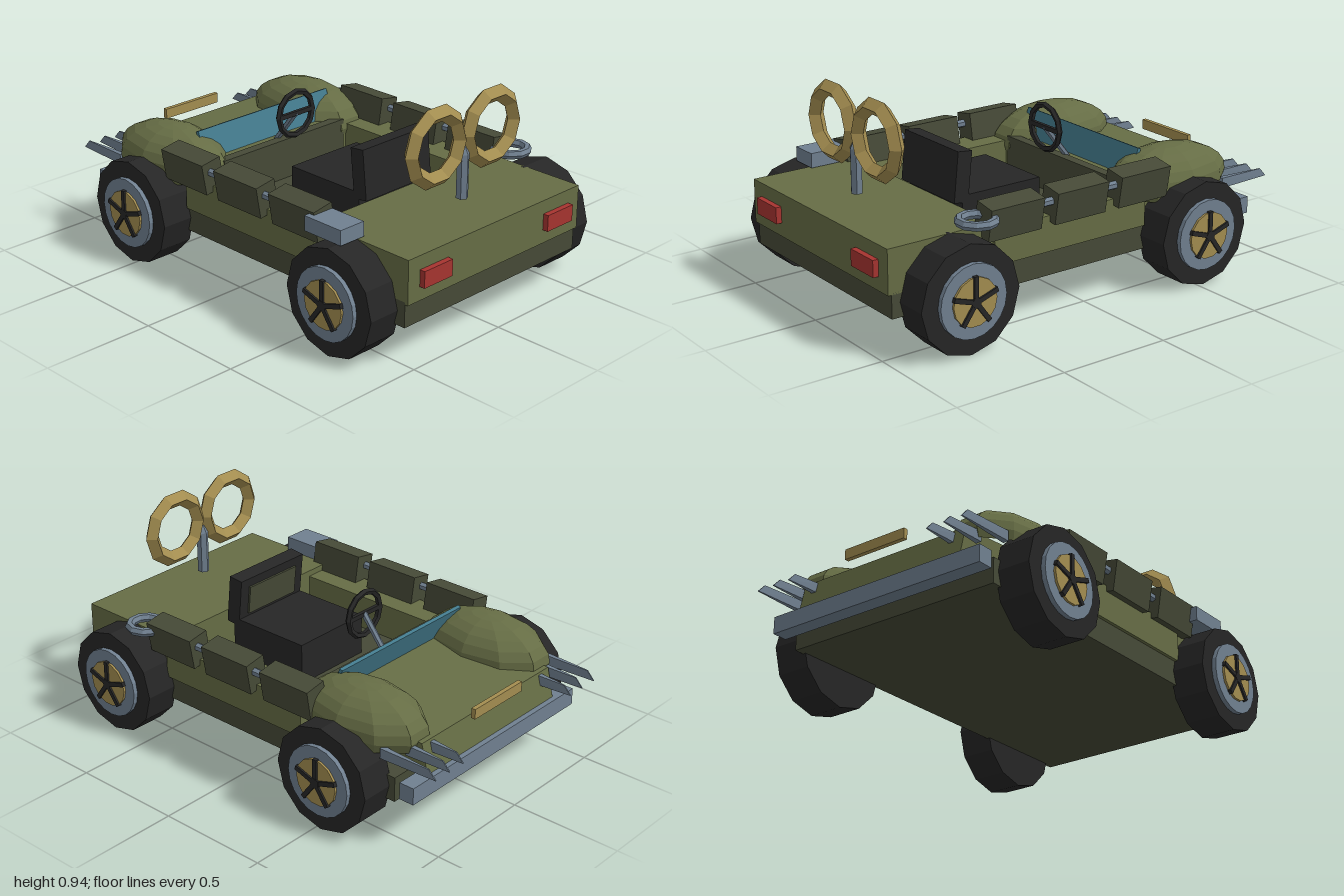
import * as THREE from 'three';

const mat = (name, color) => {
  const m = new THREE.MeshStandardMaterial({ color, flatShading: true });
  m.name = name;
  return m;
};

export function createModel() {
  const car = new THREE.Group();
  car.name = 'buggy';
  const olive = mat('olive paint', 0x666d45);
  const dark = mat('dark olive', 0x464a37);
  const black = mat('black rubber', 0x262626);
  const steel = mat('steel', 0x708090);
  const gold = mat('brass', 0xa38d50);
  const glass = mat('teal glass', 0x437a8c);
  const red = mat('red lamp', 0xa63430);

  const add = (name, geo, m, x = 0, y = 0, z = 0, parent = car) => {
    const mesh = new THREE.Mesh(geo, m);
    mesh.name = name;
    mesh.position.set(x, y, z);
    parent.add(mesh);
    return mesh;
  };
  // Box given by its limits on each axis
  const box = (name, m, x0, x1, y0, y1, z0, z1, parent = car) =>
    add(name, new THREE.BoxGeometry(x1 - x0, y1 - y0, z1 - z0), m,
      (x0 + x1) / 2, (y0 + y1) / 2, (z0 + z1) / 2, parent);
  // Side profile of [z, y] points extruded across x
  const profile = (name, m, pts, width, x = 0) => {
    const shape = new THREE.Shape(pts.map(([z, y]) => new THREE.Vector2(-z, y)));
    const geo = new THREE.ExtrudeGeometry(shape, { depth: width, bevelEnabled: false });
    geo.translate(0, 0, -width / 2).rotateY(Math.PI / 2);
    return add(name, geo, m, x);
  };

  // Hull and bodywork
  box('lowerHull', dark, -0.515, 0.515, 0.17, 0.28, -0.785, 0.96);
  box('rearDeck', olive, -0.515, 0.515, 0.27, 0.462, 0.48, 0.975);
  profile('hood', olive, [[-0.25, 0.27], [-0.25, 0.455], [-0.84, 0.415], [-0.875, 0.27]], 0.84);
  box('dashboard', dark, -0.36, 0.36, 0.28, 0.462, -0.29, -0.245);
  const shield = add('windshield', new THREE.BoxGeometry(0.77, 0.13, 0.016), glass, 0, 0.505, -0.367);
  shield.rotation.x = -0.35;

  // Bumper and nose bar
  box('bumper', steel, -0.535, 0.535, 0.21, 0.285, -0.895, -0.825);
  box('noseBar', gold, -0.155, 0.155, 0.43, 0.475, -0.895, -0.875);

  // Seat
  box('seatBase', black, -0.195, 0.195, 0.28, 0.465, 0, 0.4);
  const back = new THREE.Group();
  back.name = 'seatBack';
  back.position.set(0, 0.545, 0.395);
  back.rotation.x = -0.1;
  car.add(back);
  box('backrest', black, -0.195, 0.195, -0.11, 0.11, -0.035, 0.035, back);
  box('backrestPanel', dark, -0.145, 0.145, -0.06, 0.07, -0.044, -0.035, back);

  // Steering wheel and column
  add('steeringWheel', new THREE.TorusGeometry(0.1, 0.014, 5, 12), black, 0, 0.605, -0.18);
  box('steeringSpoke', black, -0.1, 0.1, 0.595, 0.615, -0.188, -0.172);
  const column = add('steeringColumn', new THREE.CylinderGeometry(0.014, 0.014, 0.2, 6), steel, 0, 0.53, -0.24);
  column.rotation.x = 0.67;

  // Wind-up key
  add('keyStem', new THREE.CylinderGeometry(0.026, 0.026, 0.19, 6), steel, 0, 0.6, 0.785);
  add('keyTip', new THREE.CylinderGeometry(0.008, 0.026, 0.035, 6), steel, 0, 0.712, 0.785);

  // Gear on the rear deck: box on the right, coiled ring on the left
  box('toolBox', steel, -0.612, -0.485, 0.465, 0.53, 0.51, 0.71);
  const ring = add('coilRing', new THREE.TorusGeometry(0.073, 0.02, 6, 10), steel, 0.547, 0.502, 0.58);
  ring.rotation.x = Math.PI / 2;

  // Spike: box that narrows towards the front, with a slanted tip
  const spike = (x, zBack) => {
    const m = profile('spike', steel, [[zBack, 0.36], [zBack, 0.405], [-0.965, 0.4], [-1, 0.362]], 0.026, x);
    const p = m.geometry.attributes.position;
    for (let i = 0; i < p.count; i++) {
      if (p.getZ(i) < -0.95) p.setX(i, p.getX(i) * 0.2);
    }
    m.geometry.computeVertexNormals();
  };

  // Wheel, built facing +x
  const wheel = (s, z) => {
    const g = new THREE.Group();
    g.name = 'wheel';
    g.position.set(s * 0.58, 0.232, z);
    if (s < 0) g.rotation.y = Math.PI;
    car.add(g);
    const disc = (name, r, x0, x1, n, m) => {
      const geo = new THREE.CylinderGeometry(r, r, x1 - x0, n).rotateZ(-Math.PI / 2);
      add(name, geo, m, (x0 + x1) / 2, 0, 0, g);
    };
    disc('tyre', 0.232, -0.08, 0.08, 12, black);
    disc('rim', 0.156, 0.07, 0.1, 20, steel);
    disc('hubPlate', 0.103, 0.09, 0.11, 14, gold);
    disc('hubCap', 0.025, 0.1, 0.119, 5, black);
    for (let i = 0; i < 5; i++) {
      const geo = new THREE.BoxGeometry(0.016, 0.108, 0.02).translate(0, 0.054, 0);
      add('spoke', geo, black, 0.11, 0, 0, g).rotation.x = (i * Math.PI * 2) / 5;
    }
  };

  // Mirrored parts
  for (const s of [-1, 1]) {
    const side = (name, m, a, b, ...r) => box(name, m, Math.min(s * a, s * b), Math.max(s * a, s * b), ...r);
    side('sideWall', olive, 0.38, 0.53, 0.28, 0.435, -0.3, 0.48);
    side('tailLight', red, 0.29, 0.45, 0.33, 0.402, 0.97, 1);

    const fender = add('fender', new THREE.SphereGeometry(1, 10, 7, 0, Math.PI * 2, 0, Math.PI * 0.6),
      olive, s * 0.403, 0.42, -0.53);
    fender.scale.set(0.185, 0.148, 0.305);

    // Tilted side packs on a rail
    for (const z of [-0.257, 0.075, 0.405]) {
      const pack = add('sidePack', new THREE.BoxGeometry(0.1, 0.14, 0.262), dark, s * 0.526, 0.48, z);
      pack.rotation.z = -s * 0.17;
    }
    const rail = add('sideRail', new THREE.CylinderGeometry(0.018, 0.018, 0.85, 6), steel, s * 0.54, 0.5, 0.08);
    rail.rotation.x = Math.PI / 2;

    add('keyLoop', new THREE.TorusGeometry(0.14, 0.036, 4, 10), gold, s * 0.164, 0.768, 0.785);

    spike(s * 0.53, -0.73);
    spike(s * 0.445, -0.79);
    spike(s * 0.36, -0.82);
    wheel(s, 0.69);
    wheel(s, -0.525);
  }
  return car;
}
